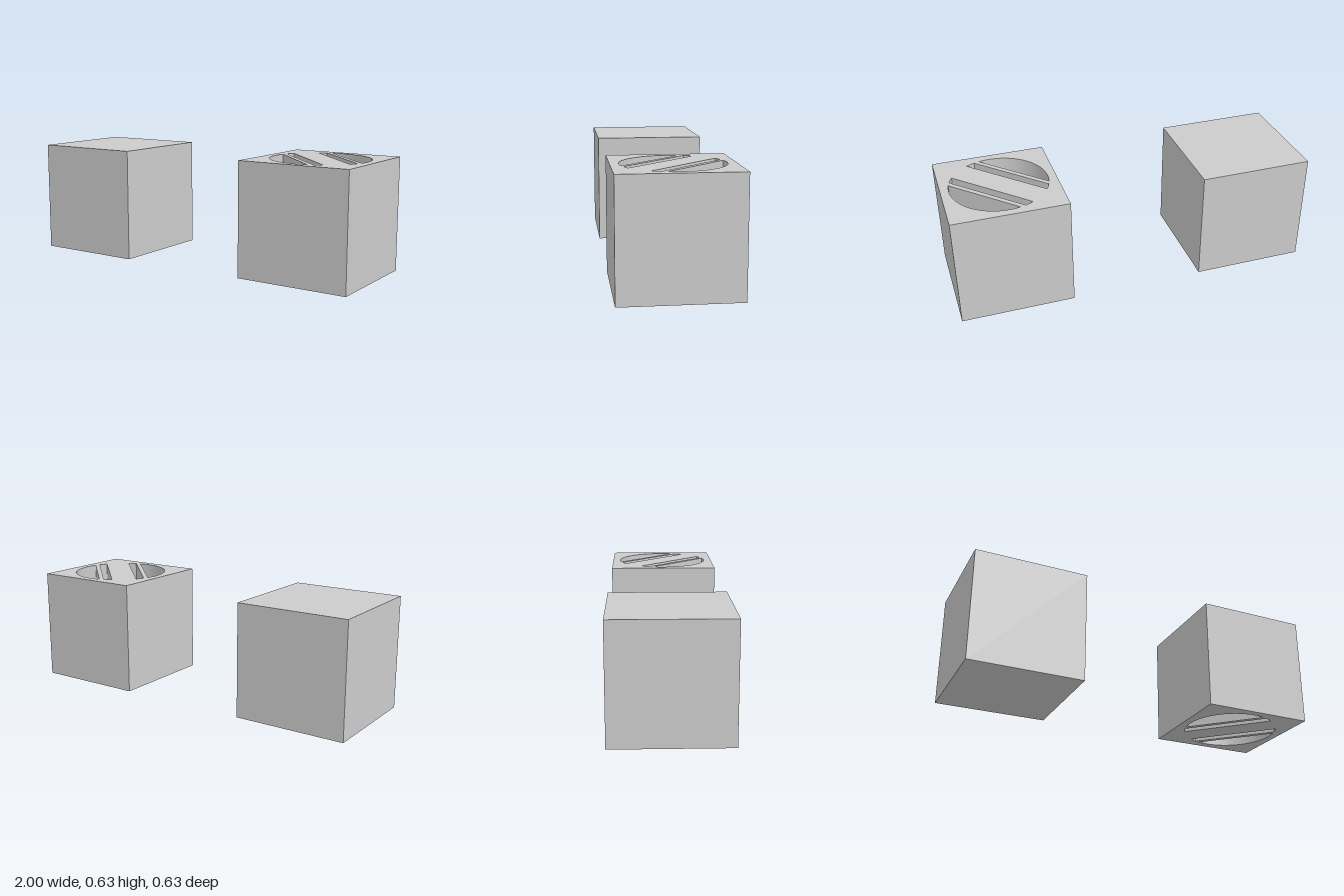
import * as THREE from 'three';
import { toCreasedNormals } from 'three/addons/utils/BufferGeometryUtils.js';

const SIZE = 0.627;      // cube edge
const OFFSET = 0.6865;   // cube centre from the middle
const RADIUS = 0.268;    // circle that bounds all the openings

// Half angle of the chord lying at distance d from the circle's centre
const halfAngle = (d) => Math.acos(d / RADIUS);

// Opening between the circle and a chord at distance d
function segmentHole(direction, d) {
  const a = halfAngle(d);
  const path = new THREE.Path();
  path.absarc(0, 0, RADIUS, direction - a, direction + a, false);
  path.closePath();
  return path;
}

// Straight slot between two chords, with ends on the circle
function slotHole(direction, inner, outer) {
  const a = halfAngle(inner), b = halfAngle(outer);
  const path = new THREE.Path();
  path.absarc(0, 0, RADIUS, direction - a, direction - b, false);
  path.absarc(0, 0, RADIUS, direction + b, direction + a, false);
  path.closePath();
  return path;
}

export function createModel() {
  const model = new THREE.Group();
  const material = new THREE.MeshStandardMaterial({ color: 0xcccccc });

  // Solid cube
  const solid = new THREE.Mesh(new THREE.BoxGeometry(SIZE, SIZE, SIZE), material);
  solid.name = 'solidCube';
  solid.position.set(-OFFSET, SIZE / 2, 0);
  model.add(solid);

  // Cube with openings cut right through, mirrored about its diagonal
  const h = SIZE / 2;
  const square = new THREE.Shape([
    new THREE.Vector2(-h, -h), new THREE.Vector2(h, -h),
    new THREE.Vector2(h, h), new THREE.Vector2(-h, h),
  ]);
  for (const direction of [Math.PI / 4, Math.PI * 5 / 4]) {
    square.holes.push(segmentHole(direction, 0.142), slotHole(direction, 0.07, 0.116));
  }
  const geometry = new THREE.ExtrudeGeometry(square, {
    depth: SIZE, bevelEnabled: false, curveSegments: 32,
  });
  geometry.rotateX(-Math.PI / 2);
  const pierced = new THREE.Mesh(toCreasedNormals(geometry, 0.5), material);
  pierced.name = 'piercedCube';
  pierced.position.x = OFFSET;
  model.add(pierced);

  return model;
}
